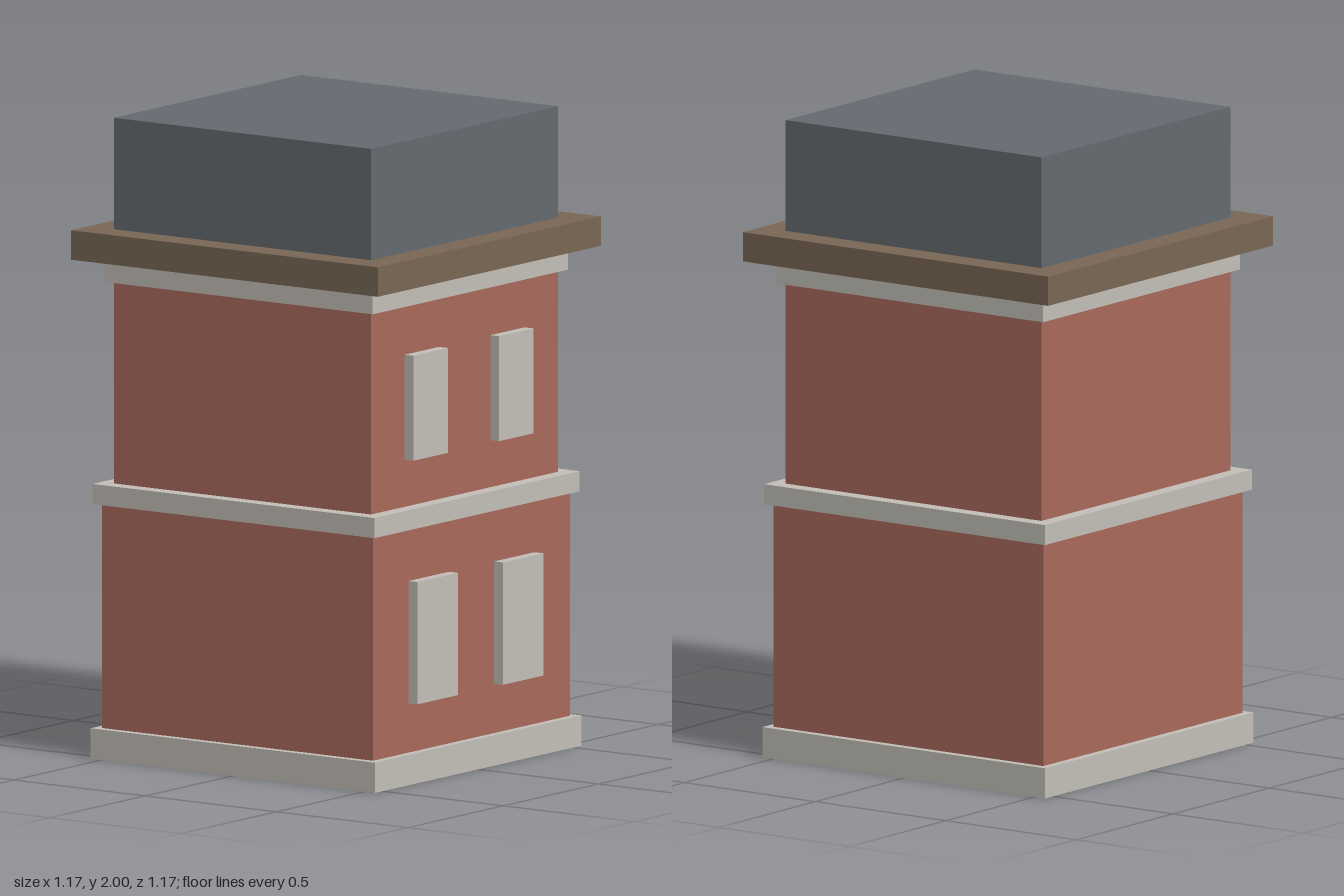
import * as THREE from 'three';

export function createModel() {
  const model = new THREE.Group();
  model.name = 'brickTower';
  const material = (color) => new THREE.MeshStandardMaterial({ color });
  const brick = material(0xa8695b);
  const stone = material(0xc2beb7);
  const timber = material(0x786654);
  const slate = material(0x636a6f);

  const addBox = (name, mat, width, depth, y0, y1, x = 0, z = 0) => {
    const mesh = new THREE.Mesh(new THREE.BoxGeometry(width, y1 - y0, depth), mat);
    mesh.name = name;
    mesh.position.set(x, (y0 + y1) / 2, z);
    model.add(mesh);
  };

  // Square storeys and mouldings, stacked from the ground up
  const tiers = [
    ['plinth', stone, 1.082, 0, 0.095],
    ['lowerStorey', brick, 1.032, 0.095, 0.795],
    ['stringCourse', stone, 1.074, 0.795, 0.858],
    ['upperStorey', brick, 0.98, 0.858, 1.488],
    ['frieze', stone, 1.022, 1.488, 1.56],
    ['cornice', timber, 1.168, 1.56, 1.652],
    ['roofBlock', slate, 0.98, 1.652, 2],
  ];
  for (const [name, mat, size, y0, y1] of tiers) addBox(name, mat, size, size, y0, y1);

  // Raised window panels on the front, a mirrored pair per storey
  for (const [side, label] of [[1, 'left'], [-1, 'right']]) {
    addBox(`${label}LowerWindow`, stone, 0.211, 0.06, 0.249, 0.631, side * 0.224, 0.52);
    addBox(`${label}UpperWindow`, stone, 0.18, 0.06, 1.005, 1.333, side * 0.224, 0.493);
  }

  return model;
}
